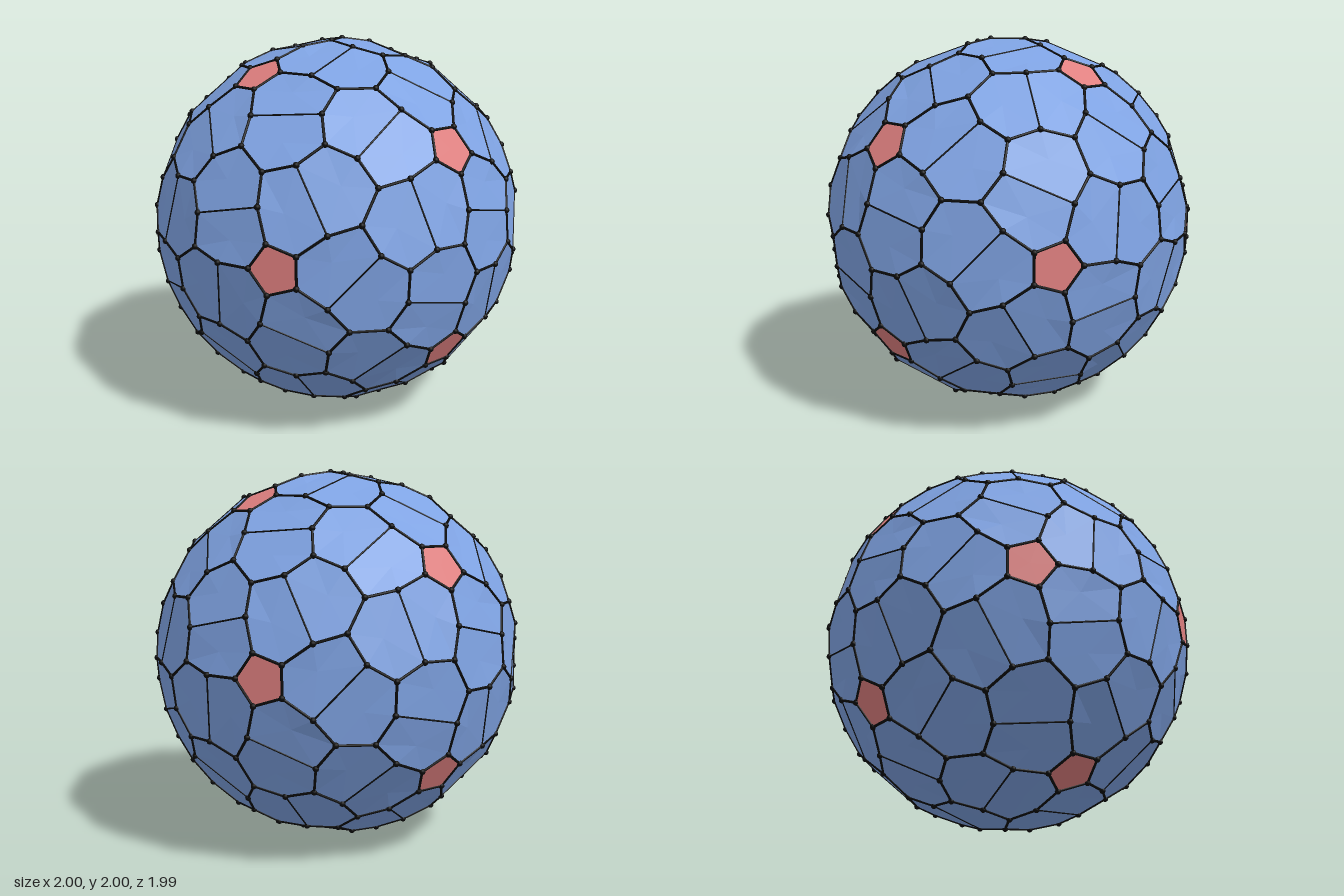
import * as THREE from 'three';
import { mergeGeometries } from 'three/addons/utils/BufferGeometryUtils.js';

const R = 0.986, BALL = 0.016;
const V = (x, y, z) => new THREE.Vector3(x, y, z);
const onSphere = (x, y) => V(x, y, Math.sqrt(R * R - x * x - y * y));
const turn = (axis, deg) =>
  new THREE.Quaternion().setFromAxisAngle(axis.clone().normalize(), THREE.MathUtils.degToRad(deg));

// The 60 rotations of the icosahedron: 12 tetrahedral ones, times 5 about one pentagon
const PHI = (1 + Math.sqrt(5)) / 2;
const pentAxis = V(-1, 0, PHI).normalize();
const triAxis = V(0, 1, PHI * PHI).normalize();
const tetra = [];
for (const flip of [turn(V(1, 0, 0), 0), turn(V(1, 0, 0), 180), turn(V(0, 1, 0), 180), turn(V(0, 0, 1), 180)])
  for (let k = 0; k < 3; k++) tetra.push(flip.clone().multiply(turn(V(1, 1, 1), 120 * k)));
const rotations = tetra.flatMap(q => [0, 1, 2, 3, 4].map(k => q.clone().multiply(turn(pentAxis, 72 * k))));

// Seed corners, then the two kinds of hexagon and the pentagon
function seedFaces() {
  const atPole = deg => pentAxis.clone().applyQuaternion(turn(V(0, 1, 0), deg)).multiplyScalar(R);
  const p = atPole(7.7), b = atPole(17.9);
  const a = onSphere(0.08, 0.049);
  const a2 = V(-a.x, -a.y, a.z);
  const d = triAxis.clone().multiplyScalar(R);
  const c2 = d.clone().applyQuaternion(turn(V(0, 1, 0).cross(triAxis).cross(triAxis).negate(), 0));
  c2.copy(triAxis).multiplyScalar(Math.sqrt(R * R - 0.163 * 0.163)).add(V(-0.163, 0, 0));
  const third = turn(triAxis, 120), fifth = turn(pentAxis, 72);
  const c = c2.clone().applyQuaternion(third);
  const a3 = a.clone().applyQuaternion(third.clone().invert());
  const next = v => v.clone().applyQuaternion(fifth);
  const pentagon = [p];
  for (let k = 1; k < 5; k++) pentagon.push(next(pentagon[k - 1]));
  return {
    hexagons: [[a2, a, c, d, c2, b], [p, b, c2, a3, next(b), next(p)]],
    pentagon,
  };
}

const rotateFace = (face, q) => face.map(v => v.clone().applyQuaternion(q));

// Each face is a fan of triangles around its middle
function facesGeometry(faces) {
  const pos = [];
  for (const f of faces) {
    const mid = f.reduce((s, v) => s.add(v), V(0, 0, 0)).divideScalar(f.length);
    f.forEach((v, i) => pos.push(...mid.toArray(), ...v.toArray(), ...f[(i + 1) % f.length].toArray()));
  }
  const g = new THREE.BufferGeometry();
  g.setAttribute('position', new THREE.Float32BufferAttribute(pos, 3));
  g.computeVertexNormals();
  return g;
}

// Rod between two corners; the long ones are thinner
function rod(a, b) {
  const dir = b.clone().sub(a), len = dir.length();
  const r = len > 0.25 ? 0.0045 : 0.007;
  const g = new THREE.CylinderGeometry(r, r, len, 8, 1, true);
  g.applyQuaternion(new THREE.Quaternion().setFromUnitVectors(V(0, 1, 0), dir.normalize()));
  const m = a.clone().add(b).multiplyScalar(0.5);
  return g.translate(m.x, m.y, m.z);
}

export function createModel() {
  const group = new THREE.Group();
  group.name = 'polyhedron';
  const add = (name, geometry, color, flatShading) => {
    const mesh = new THREE.Mesh(geometry, new THREE.MeshStandardMaterial({ color, flatShading }));
    mesh.name = name;
    mesh.position.y = 1;
    group.add(mesh);
  };

  const seeds = seedFaces();
  const hexagons = rotations.flatMap(q => seeds.hexagons.map(f => rotateFace(f, q)));
  const pentagons = tetra.map(q => rotateFace(seeds.pentagon, q));

  // Shared corners and edges, each kept once
  const corners = [], edges = new Map();
  const indexOf = v => {
    const i = corners.findIndex(w => w.distanceTo(v) < 0.01);
    return i >= 0 ? i : corners.push(v) - 1;
  };
  for (const f of [...hexagons, ...pentagons]) {
    const ids = f.map(indexOf);
    ids.forEach((i, k) => {
      const j = ids[(k + 1) % ids.length];
      edges.set(Math.min(i, j) + '_' + Math.max(i, j), [i, j]);
    });
  }

  add('hexagonFaces', facesGeometry(hexagons), 0x7fa3e3, true);
  add('pentagonFaces', facesGeometry(pentagons), 0xe08080, true);
  add('edgeRods', mergeGeometries([...edges.values()].map(([i, j]) => rod(corners[i], corners[j]))), 0x0a0a0a, false);
  add('cornerBalls', mergeGeometries(corners.map(v =>
    new THREE.SphereGeometry(BALL, 10, 8).translate(v.x, v.y, v.z))), 0x0a0a0a, false);
  return group;
}
